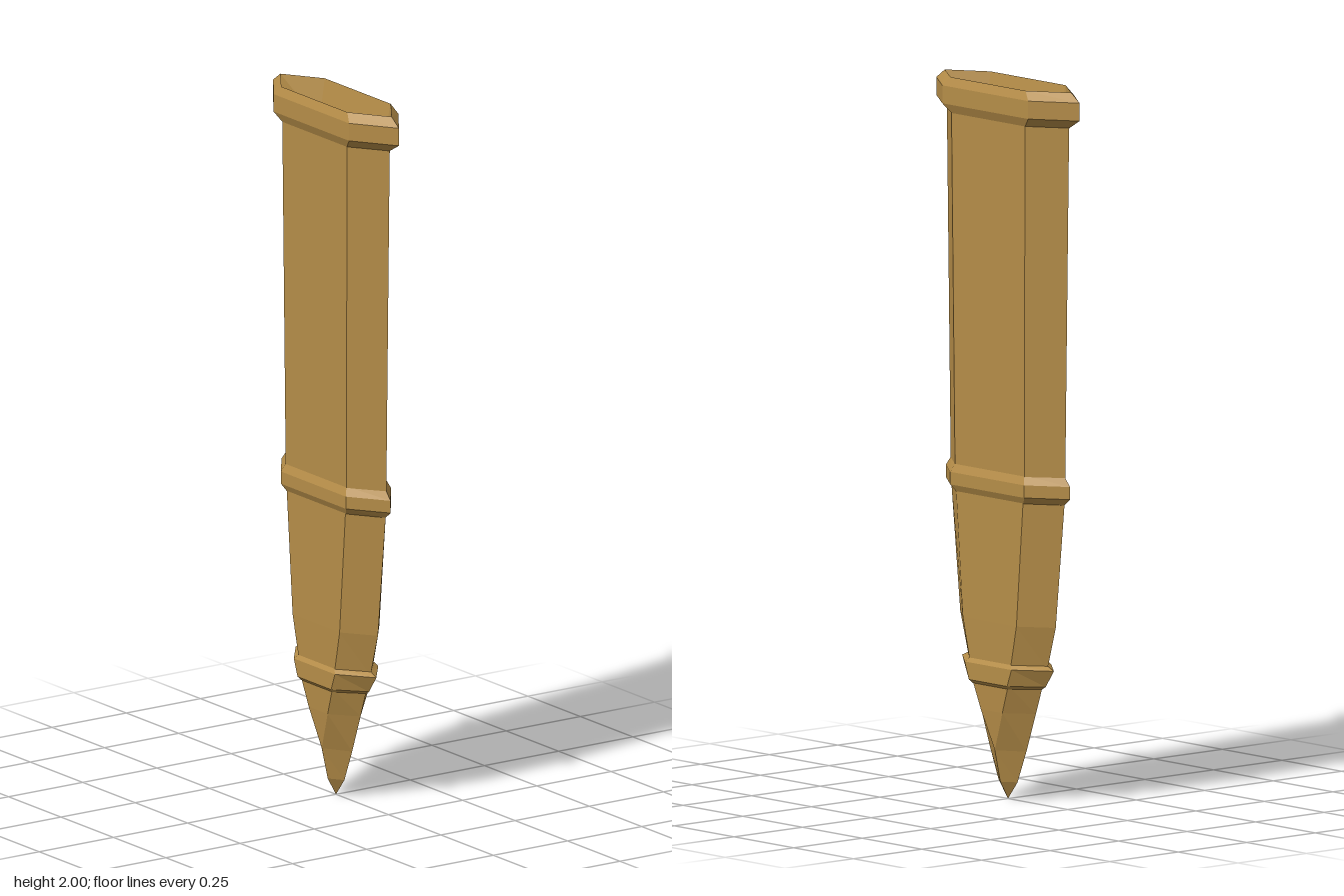
import * as THREE from 'three';

// Flattened hexagon: tip half-width, shoulder half-width, half-thickness
function ring([y, tip, shoulder, z]) {
  return [[tip, 0], [shoulder, z], [-shoulder, z], [-tip, 0], [-shoulder, -z], [shoulder, -z]]
    .map(([px, pz]) => new THREE.Vector3(px, y, pz));
}

// Skin between hexagonal sections; top-to-bottom faces outward, bottom-to-top faces inward
function loft(name, sections, material) {
  const points = [];
  const addTriangle = (a, b, c) => {
    const area = b.clone().sub(a).cross(c.clone().sub(a)).length();
    if (area > 1e-8) points.push(a, b, c);
  };
  const rings = sections.map(ring);
  for (let i = 0; i < rings.length - 1; i++) {
    const a = rings[i], b = rings[i + 1];
    for (let j = 0; j < 6; j++) {
      const k = (j + 1) % 6;
      addTriangle(a[j], a[k], b[j]);
      addTriangle(a[k], b[k], b[j]);
    }
  }
  const geometry = new THREE.BufferGeometry().setFromPoints(points);
  geometry.computeVertexNormals();
  const mesh = new THREE.Mesh(geometry, material);
  mesh.name = name;
  return mesh;
}

export function createModel() {
  const gold = new THREE.MeshStandardMaterial({ color: 0xb58d48 });
  gold.name = 'tan gold';
  const lining = new THREE.MeshStandardMaterial({ color: 0x705649 });
  lining.name = 'dark brown lining';

  const group = new THREE.Group();
  group.name = 'scabbard';
  group.add(
    // Collar around the mouth
    loft('mouthCollar', [
      [2, 0.265, 0.157, 0.073],
      [1.975, 0.3, 0.18, 0.083],
      [1.925, 0.3, 0.18, 0.083],
      [1.9, 0.256, 0.154, 0.072],
    ], gold),
    // Long upper sheath
    loft('upperSheath', [
      [1.9, 0.256, 0.154, 0.072],
      [0.92, 0.24, 0.145, 0.067],
    ], gold),
    // Middle band
    loft('middleBand', [
      [0.925, 0.238, 0.143, 0.066],
      [0.9, 0.26, 0.155, 0.076],
      [0.865, 0.26, 0.155, 0.076],
      [0.845, 0.235, 0.14, 0.066],
    ], gold),
    // Tapering lower sheath
    loft('lowerSheath', [
      [0.85, 0.237, 0.14, 0.067],
      [0.5, 0.2, 0.112, 0.067],
      [0.38, 0.165, 0.085, 0.065],
    ], gold),
    // Lower band
    loft('lowerBand', [
      [0.39, 0.165, 0.085, 0.065],
      [0.378, 0.192, 0.098, 0.073],
      [0.33, 0.158, 0.08, 0.073],
      [0.32, 0.14, 0.073, 0.064],
    ], gold),
    // Pointed end cap
    loft('pointedTip', [
      [0.33, 0.145, 0.075, 0.065],
      [0.25, 0.117, 0.045, 0.06],
      [0.14, 0.077, 0, 0.048],
      [0.05, 0.04, 0, 0.028],
      [0, 0, 0, 0],
    ], gold),
    // Bevelled wall just inside the mouth
    loft('innerRim', [
      [1.88, 0.255, 0.15, 0.05],
      [2, 0.265, 0.157, 0.073],
    ], gold),
    // Deep cavity narrowing to a point
    loft('cavityLining', [
      [0.3, 0, 0, 0],
      [1.88, 0.255, 0.15, 0.05],
    ], lining),
  );
  return group;
}
